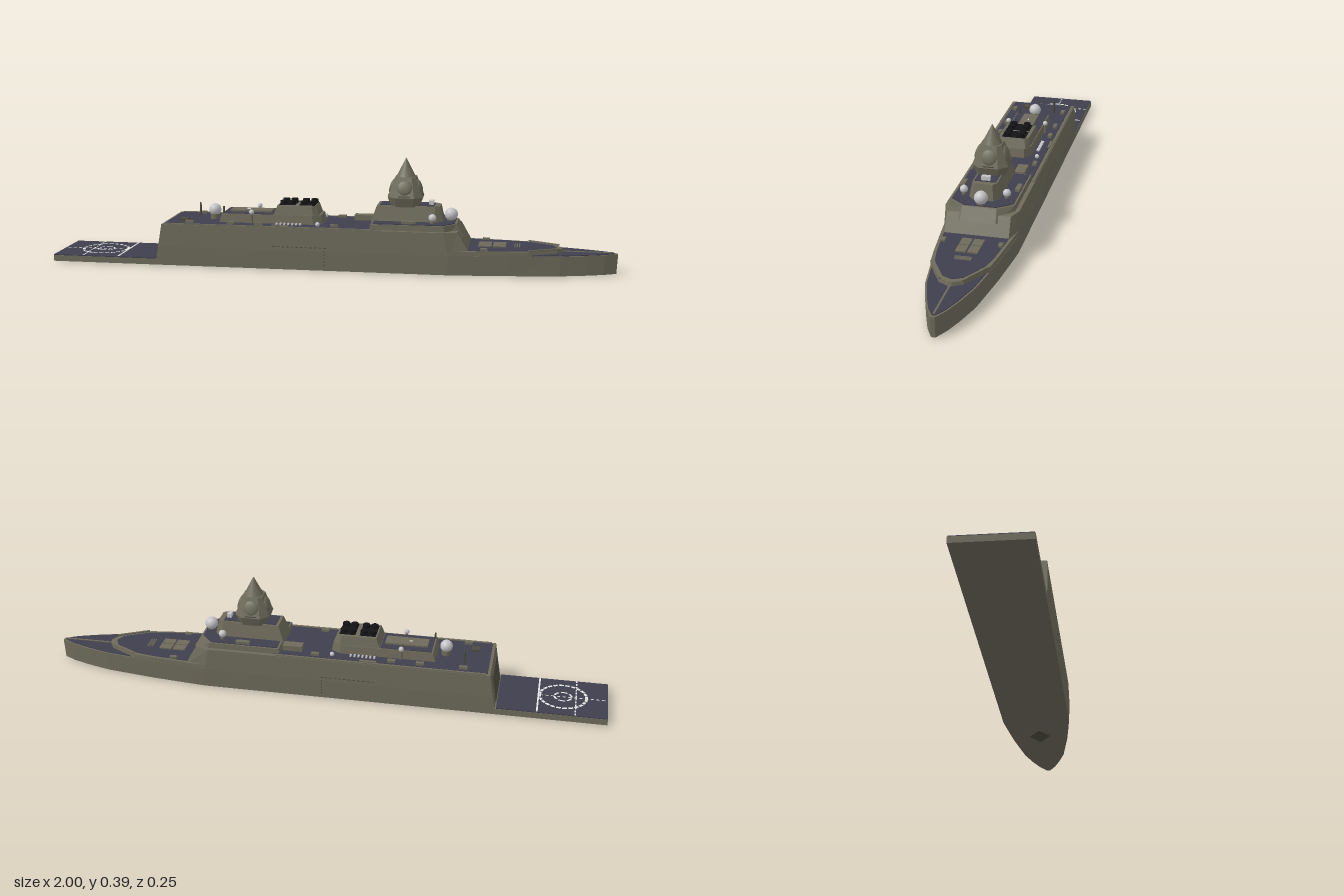
import * as THREE from 'three';

const mat = (name, color) => {
  const m = new THREE.MeshStandardMaterial({ color });
  m.name = name;
  return m;
};

export function createModel() {
  const ship = new THREE.Group();
  ship.name = 'warship';
  const olive = mat('olive grey paint', 0x6e6b5b);
  const deck = mat('blue grey deck', 0x3e3e4e);
  const black = mat('funnel black', 0x141417);
  const white = mat('white marking', 0xe2e2e2);
  const dome = mat('pale radome', 0xc4c4c8);
  const shade = mat('dark olive', 0x4d4b40);

  const add = (name, geo, m, x = 0, y = 0, z = 0) => {
    const mesh = new THREE.Mesh(geo, m);
    mesh.name = name;
    mesh.position.set(x, y, z);
    ship.add(mesh);
    return mesh;
  };
  const box = (name, m, x, y, z, w, h, d) =>
    add(name, new THREE.BoxGeometry(w, h, d), m, x, y + h / 2, z);
  const cyl = (name, m, x, y, z, r, h, n = 16, rTop = r) =>
    add(name, new THREE.CylinderGeometry(rTop, r, h, n), m, x, y + h / 2, z);
  const ball = (name, x, y, z, r) => add(name, new THREE.SphereGeometry(r, 24, 16), dome, x, y, z);

  // Stacks mirrored half outlines [x, z] at rising heights into a closed, flat-faced solid
  const loft = (name, m, levels) => {
    const rings = levels.map(([y, half]) => [
      ...half.map(([x, z]) => [x, y, z]),
      ...half.slice().reverse().map(([x, z]) => [x, y, -z]),
    ]);
    const n = rings[0].length;
    const top = rings[rings.length - 1];
    const p = [];
    const tri = (a, b, c) => p.push(...a, ...b, ...c);
    for (let k = 0; k < rings.length - 1; k++) {
      for (let i = 0; i < n; i++) {
        const j = (i + 1) % n;
        tri(rings[k][i], rings[k][j], rings[k + 1][j]);
        tri(rings[k][i], rings[k + 1][j], rings[k + 1][i]);
      }
    }
    for (let i = 1; i < n - 1; i++) {
      tri(rings[0][0], rings[0][i + 1], rings[0][i]);
      tri(top[0], top[i], top[i + 1]);
    }
    const g = new THREE.BufferGeometry();
    g.setAttribute('position', new THREE.Float32BufferAttribute(p, 3));
    g.computeVertexNormals();
    return add(name, g, m);
  };

  // Lower hull, tapering to a blunt bow
  const bow = [[0.42, 0.127], [0.5, 0.119], [0.62, 0.106], [0.8, 0.079], [0.89, 0.053], [0.95, 0.031], [0.995, 0.007]];
  const bowLow = bow.map(([x, z]) => [x - 0.004, z * 0.98]);
  loft('hull', olive, [
    [0.003, [[-0.62, 0.125], ...bowLow]],
    [0.072, [[-0.608, 0.127], ...bow]],
  ]);
  loft('bowDeck', deck, [0.0715, 0.0745].map(y => [y, [[0.7, 0.088], [0.8, 0.073], [0.89, 0.047], [0.95, 0.025], [0.985, 0.004]]]));
  box('bowCentreline', olive, 0.89, 0.073, 0, 0.18, 0.004, 0.006);
  loft('keelPlate', shade, [0, 0.004].map(y => [y, [[0.51, 0.003], [0.57, 0.04], [0.63, 0.003]]]));

  // Raised forecastle ending in a chevron breakwater
  const fore = [[0.42, 0.126], [0.5, 0.118], [0.62, 0.105], [0.69, 0.095], [0.79, 0.04], [0.81, 0.006]];
  loft('forecastle', olive, [[0.07, fore], [0.087, fore.map(([x, z]) => [x - 0.004, z])]]);
  loft('forecastleDeck', deck, [0.086, 0.0885].map(y => [y, [[0.46, 0.107], [0.5, 0.107], [0.62, 0.094], [0.68, 0.083], [0.77, 0.034], [0.785, 0.005]]]));
  for (const s of [-1, 1]) {
    const wall = box('breakwater', olive, 0.742, 0.087, s * 0.063, 0.118, 0.005, 0.007);
    wall.rotation.y = s * 0.5;
    box('foredeckLocker', olive, 0.54, 0.087, s * 0.095, 0.025, 0.008, 0.014);
    for (const x of [0.54, 0.59]) box('launcherHatch', olive, x, 0.087, s * 0.02, 0.045, 0.006, 0.034);
  }
  for (let i = 0; i < 3; i++) box('launcherVent', olive, 0.643 + i * 0.008, 0.087, 0, 0.004, 0.005, 0.055);

  // Flight deck with landing marks
  box('sternHull', olive, -0.8, 0.003, 0, 0.4, 0.021, 0.25);
  box('flightDeck', deck, -0.81, 0.024, 0, 0.378, 0.003, 0.246);
  const arc = (name, r0, r1, start, len) => {
    const a = add(name, new THREE.RingGeometry(r0, r1, 6, 1, start, len), white, -0.845, 0.0282, 0);
    a.rotation.x = -Math.PI / 2;
  };
  for (let i = 0; i < 24; i++) arc('landingRing', 0.076, 0.086, i * Math.PI / 12, 0.2);
  for (let i = 0; i < 6; i++) arc('landingSpot', 0.026, 0.033, i * Math.PI / 3, 0.8);
  box('deckLine', white, -0.76, 0.027, 0, 0.006, 0.0012, 0.24);
  for (let i = 0; i < 12; i++) {
    box('crossDash', white, -0.89, 0.027, -0.115 + i * 0.021, 0.005, 0.0012, 0.011);
    box('centreDash', white, -0.985 + i * 0.0195, 0.027, 0, 0.011, 0.0012, 0.004);
  }

  // Main block with sloping aft wall, hangar door and upper deck
  loft('mainBlock', olive, [
    [0.07, [[-0.608, 0.127], [0.42, 0.127], [0.495, 0.108]]],
    [0.15, [[-0.595, 0.125], [0.4, 0.125], [0.45, 0.107]]],
  ]);
  const door = box('hangarDoor', shade, -0.609, 0.03, 0, 0.004, 0.1, 0.17);
  door.rotation.z = -0.165;
  box('upperDeck', deck, -0.21, 0.149, 0, 0.75, 0.004, 0.222);
  for (const s of [-1, 1]) {
    box('bulwark', olive, -0.21, 0.148, s * 0.119, 0.74, 0.006, 0.008);
    for (let i = 0; i < 12; i++) box('hullPort', shade, -0.19 + i * 0.0165, 0.082, s * 0.1265, 0.009, 0.003, 0.002);
    for (let i = 0; i < 5; i++) box('draughtMark', shade, -0.01, 0.02 + i * 0.012, s * 0.1265, 0.003, 0.005, 0.002);
    for (let i = 0; i < 7; i++) {
      const raft = cyl('lifeRaft', dome, -0.188 + i * 0.014, 0.15, s * 0.08, 0.004, 0.011, 8);
      raft.rotation.x = Math.PI / 2;
      raft.position.y = 0.156;
    }
    for (const x of [-0.5, -0.35, -0.25, 0.02]) box('deckLocker', olive, x, 0.15, s * 0.095, 0.028, 0.012, 0.014);
    box('boatBay', olive, -0.17, 0.15, s * 0.112, 0.06, 0.008, 0.01);
    ball('smallRadome', -0.04, 0.16, s * 0.09, 0.008);
  }
  box('deckHouse', olive, 0.105, 0.15, -0.065, 0.07, 0.022, 0.036);
  box('aftLocker', shade, -0.53, 0.15, 0.05, 0.03, 0.012, 0.03);

  // Aft deckhouse, funnel block and exhausts
  loft('aftHouse', olive, [
    [0.15, [[-0.4, 0.066], [-0.06, 0.066], [-0.03, 0.045]]],
    [0.184, [[-0.39, 0.062], [-0.065, 0.062], [-0.036, 0.043]]],
  ]);
  box('aftHouseRoof', deck, -0.295, 0.183, 0, 0.18, 0.003, 0.116);
  box('aftRoofBlock', olive, -0.292, 0.184, 0, 0.15, 0.008, 0.056);
  box('roofSlot', white, -0.305, 0.191, 0, 0.012, 0.0025, 0.004);
  loft('funnelBlock', olive, [
    [0.18, [[-0.205, 0.06], [-0.06, 0.06], [-0.042, 0.045]]],
    [0.217, [[-0.19, 0.054], [-0.068, 0.054], [-0.055, 0.041]]],
  ]);
  for (const cx of [-0.157, -0.085]) {
    box('exhaustBase', black, cx, 0.216, 0, 0.056, 0.004, 0.084);
    for (const dx of [-0.015, 0.015]) for (const z of [-0.025, 0.025])
      cyl('exhaust', black, cx + dx, 0.218, z, 0.0125, 0.013, 14);
  }
  cyl('aftRadomePedestal', olive, -0.43, 0.15, 0, 0.016, 0.022);
  ball('aftRadome', -0.43, 0.186, 0, 0.022);
  for (const s of [-1, 1]) {
    cyl('sensorPost', olive, -0.28, 0.15, s * 0.07, 0.005, 0.035, 8);
    ball('sensorDome', -0.28, 0.193, s * 0.07, 0.009);
  }
  cyl('whipMast', shade, -0.385, 0.15, 0.05, 0.004, 0.058, 8, 0.003);
  cyl('whipMast', shade, -0.5, 0.15, -0.06, 0.004, 0.05, 8, 0.003);

  // Bridge tier
  loft('bridge', olive, [
    [0.128, [[0.14, 0.112], [0.41, 0.112], [0.468, 0.06]]],
    [0.17, [[0.148, 0.11], [0.4, 0.11], [0.443, 0.058]]],
  ]);
  loft('bridgeRoof', deck, [0.1695, 0.1725].map(y => [y, [[0.155, 0.104], [0.396, 0.104], [0.436, 0.054]]]));
  for (const s of [-1, 1]) {
    box('roofLocker', olive, 0.28, 0.17, s * 0.095, 0.05, 0.012, 0.016);
    cyl('sidePedestal', olive, 0.36, 0.17, s * 0.073, 0.008, 0.014, 12);
    ball('sideRadome', 0.36, 0.192, s * 0.073, 0.0135);
  }
  cyl('frontPedestal', olive, 0.42, 0.17, 0, 0.015, 0.012);
  ball('frontRadome', 0.42, 0.194, 0, 0.023);

  // Mast house and faceted radar tower
  loft('mastHouse', olive, [
    [0.17, [[0.143, 0.053], [0.37, 0.053], [0.395, 0.035]]],
    [0.226, [[0.163, 0.042], [0.365, 0.042], [0.383, 0.03]]],
  ]);
  box('mastHouseRoof', deck, 0.268, 0.225, 0, 0.19, 0.003, 0.072);
  box('navigationRadar', dome, 0.35, 0.227, 0, 0.016, 0.015, 0.03);
  const tx = 0.26;
  const oct = (w, c) => [[tx - w, c], [tx - c, w], [tx + c, w], [tx + w, c]];
  loft('radarTower', olive, [
    [0.222, oct(0.049, 0.028)],
    [0.255, oct(0.061, 0.034)],
    [0.325, oct(0.036, 0.022)],
  ]);
  for (let i = 0; i < 4; i++) {
    const arm = new THREE.Group();
    arm.name = 'radarPanel';
    arm.position.set(tx, 0.29, 0);
    arm.rotation.y = i * Math.PI / 2;
    const panel = new THREE.Mesh(new THREE.SphereGeometry(0.026, 28, 14), olive);
    panel.name = 'panelDome';
    panel.scale.z = 0.3;
    panel.position.z = 0.0485;
    panel.rotation.x = -0.34;
    const slot = new THREE.Mesh(new THREE.BoxGeometry(0.04, 0.003, 0.004), shade);
    slot.name = 'panelSlot';
    slot.position.set(0, -0.03, 0.0588);
    arm.add(panel, slot);
    ship.add(arm);
  }
  cyl('mastCone', olive, tx, 0.324, 0, 0.034, 0.066, 28, 0.0005);

  return ship;
}
